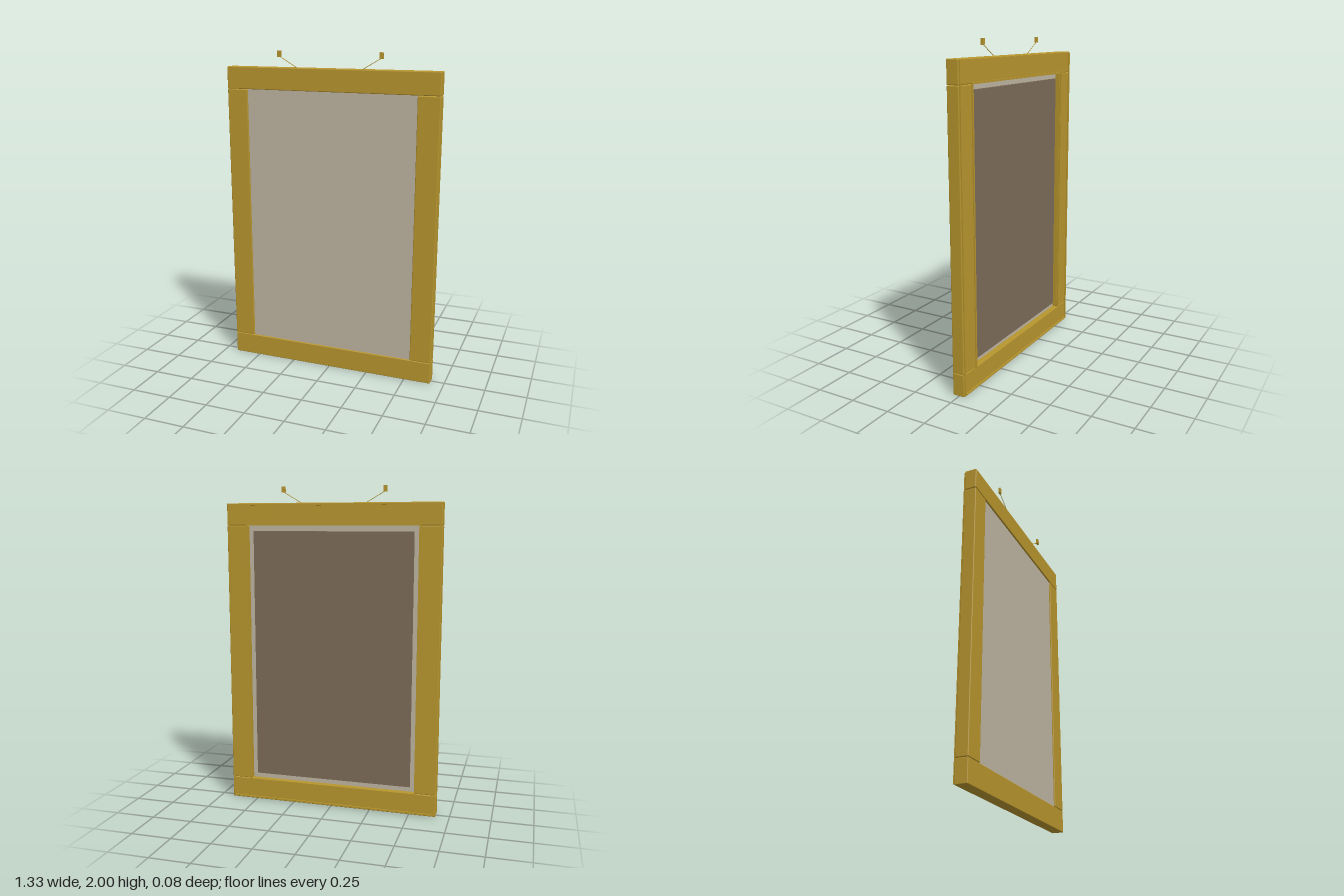
import * as THREE from 'three';
import { RoundedBoxGeometry } from 'three/addons/geometries/RoundedBoxGeometry.js';

const gold = new THREE.MeshStandardMaterial({ color: 0xb8962e });
const pale = new THREE.MeshStandardMaterial({ color: 0xbfb5a2 });
const brown = new THREE.MeshStandardMaterial({ color: 0x7d6c58 });

function add(parent, name, geometry, material, x, y, z) {
  const mesh = new THREE.Mesh(geometry, material);
  mesh.name = name;
  mesh.position.set(x, y, z);
  parent.add(mesh);
  return mesh;
}

// Thin rectangular beading that runs round a rectangle centred on the frame
function beading(parent, name, halfW, halfH, size, cy, z) {
  const ring = new THREE.Group();
  ring.name = name;
  for (const s of [-1, 1]) {
    add(ring, 'beadingRail', new THREE.BoxGeometry(halfW * 2 + size, size, size), gold, 0, cy + s * halfH, z);
    add(ring, 'beadingStile', new THREE.BoxGeometry(size, halfH * 2 - size, size), gold, s * halfW, cy, z);
  }
  parent.add(ring);
}

export function createModel() {
  const model = new THREE.Group();
  model.name = 'hangingFrame';

  const cy = 0.952;            // middle height of the frame
  const depth = 0.075, zBar = 0.0025;
  const bar = (w, h) => new RoundedBoxGeometry(w, h, depth, 2, 0.005);

  // Frame bars
  add(model, 'bottomRail', bar(1.333, 0.136), gold, 0, 0.07, zBar);
  add(model, 'topRail', bar(1.333, 0.134), gold, 0, 1.834, zBar);
  for (const s of [-1, 1]) {
    add(model, s > 0 ? 'leftStile' : 'rightStile', bar(0.133, 1.626), gold, s * 0.6, cy, zBar);
  }

  // Raised beading on the back, round the outside and the opening
  beading(model, 'outerBeading', 0.655, 0.938, 0.01, cy, -0.038);
  beading(model, 'innerBeading', 0.538, 0.818, 0.01, cy, -0.038);

  // Pane and the backing board behind it
  add(model, 'pane', new THREE.BoxGeometry(1.07, 1.632, 0.03), pale, 0, cy, 0.015);
  add(model, 'backingBoard', new THREE.BoxGeometry(1.0, 1.56, 0.018), brown, 0, cy, -0.009);

  // Hanging wires, each with a small block at its end
  for (const s of [-1, 1]) {
    const hanger = new THREE.Group();
    hanger.name = s > 0 ? 'leftHanger' : 'rightHanger';
    const wire = new THREE.LineCurve3(new THREE.Vector3(s * 0.195, 1.897, 0.031), new THREE.Vector3(s * 0.317, 1.968, 0.031));
    add(hanger, 'wire', new THREE.TubeGeometry(wire, 1, 0.002, 6), gold, 0, 0, 0);
    add(hanger, 'endBlock', new THREE.BoxGeometry(0.022, 0.036, 0.013), gold, s * 0.317, 1.982, 0.0315);
    model.add(hanger);
  }
  return model;
}
